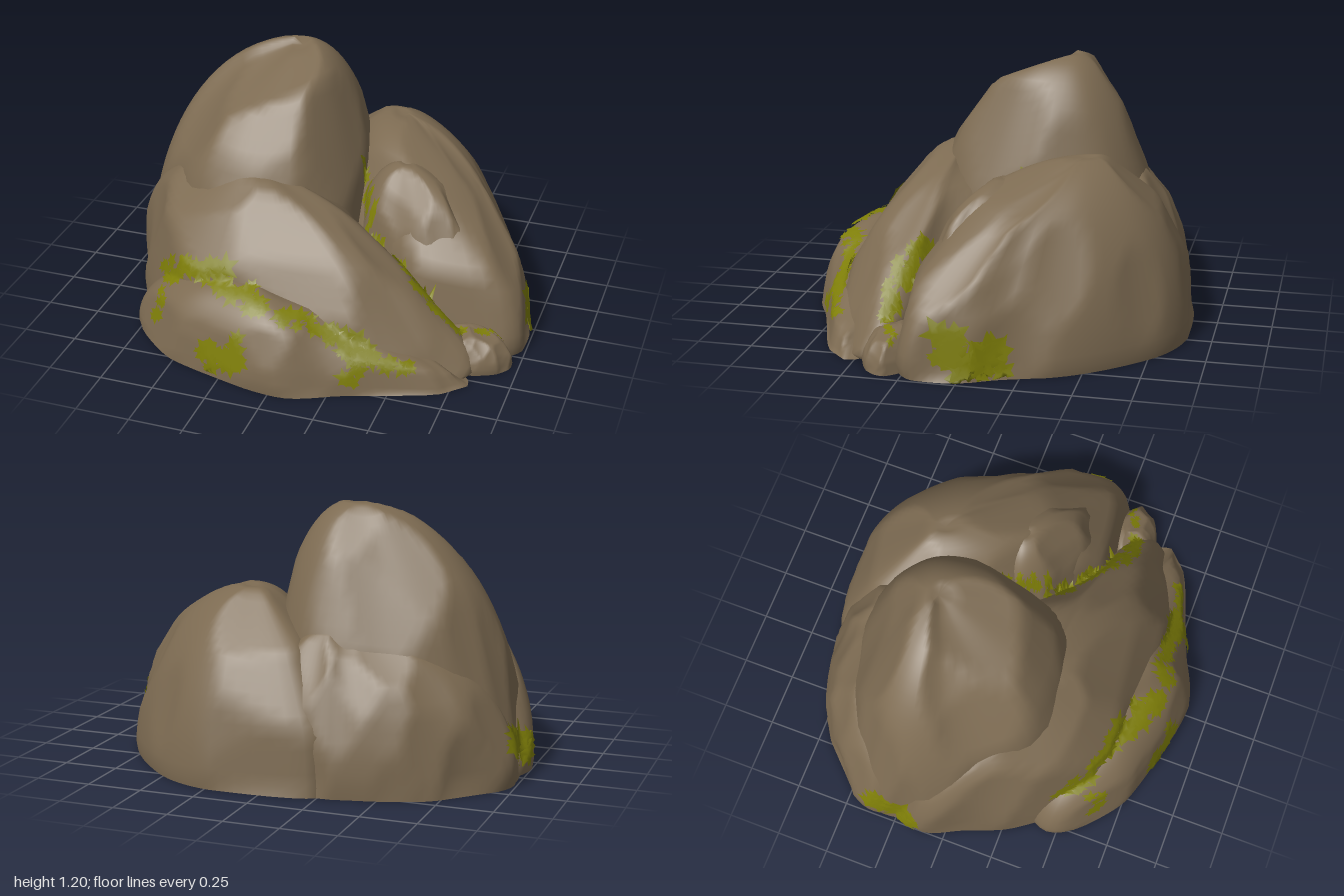
import * as THREE from 'three';
import { mergeGeometries } from 'three/addons/utils/BufferGeometryUtils.js';

const TAU = Math.PI * 2;

function seeded(seed) {
  return () => {
    seed = (seed * 1664525 + 1013904223) % 4294967296;
    return seed / 4294967296;
  };
}

// Boulder dome: footprint points are [x, z, bulge], running from +x round by the front.
// The bulge is the superellipse exponent of the side at that point.
function boulderGeometry({ apex: [ax, ay, az], foot, seed }) {
  const random = seeded(seed), cols = 72, rows = 24;
  const outline = new THREE.CatmullRomCurve3(
    foot.map(([x, z, p = 2]) => new THREE.Vector3(x, p, z)), true);
  // Random planes that chisel flat faces into the dome
  const cuts = Array.from({ length: 34 }, () => {
    const a = random() * TAU, y = random() * 0.95, r = Math.sqrt(1 - y * y);
    return { n: new THREE.Vector3(r * Math.cos(a), y, r * Math.sin(a)), d: 0.93 + random() * 0.045 };
  });
  const pos = [], index = [], q = new THREE.Vector3();
  for (let j = 0; j < rows; j++) {
    const v = (j / rows) * Math.PI / 2;
    for (let i = 0; i < cols; i++) {
      const t = i / cols, f = outline.getPoint(t), p = f.y;
      q.set(Math.cos(v) * Math.cos(t * TAU), Math.sin(v), Math.cos(v) * Math.sin(t * TAU));
      let cut = 1;
      for (const { n, d } of cuts) {
        const k = n.dot(q);
        if (k > d) cut = Math.min(cut, d / k);
      }
      cut = 1 + (cut - 0.975) * (j ? 1 : 0.4);
      const r = Math.cos(v) ** (2 / p) * cut, h = Math.sin(v) ** (2 / p) * cut;
      pos.push(ax + (f.x - ax) * r, ay * h, az + (f.z - az) * r);
      const a = j * cols + i, b = j * cols + (i + 1) % cols;
      if (j < rows - 1) index.push(a, a + cols, b, b, a + cols, b + cols);
      else index.push(a, rows * cols, b);
    }
  }
  pos.push(ax, ay * 0.995, az);
  const dome = new THREE.BufferGeometry();
  dome.setAttribute('position', new THREE.Float32BufferAttribute(pos, 3));
  dome.setIndex(index);
  dome.computeVertexNormals();

  // Flat underside
  const under = new THREE.BufferGeometry();
  under.setAttribute('position', new THREE.Float32BufferAttribute([...pos.slice(0, cols * 3), ax, 0, az], 3));
  under.setIndex(Array.from({ length: cols }, (_, i) => [i, (i + 1) % cols, cols]).flat());
  under.computeVertexNormals();
  return mergeGeometries([dome, under]);
}

const BOULDERS = {
  tallBoulder: {
    apex: [-0.23, 1.17, -0.27], seed: 11,
    foot: [[0.17, -0.2, 2.4], [0.13, 0.12, 2.5], [-0.08, 0.4, 2.4], [-0.4, 0.46, 2.3], [-0.72, 0.28, 2.1],
      [-0.9, 0.03, 2], [-0.97, -0.18, 2], [-0.96, -0.38, 1.9], [-0.8, -0.56, 1.9], [-0.5, -0.66, 1.9],
      [-0.15, -0.69, 1.9], [0.1, -0.5, 2.1]],
  },
  rightBoulder: {
    apex: [0.22, 0.8, -0.43], seed: 23,
    foot: [[1, 0.06, 1.8], [0.94, 0.24, 1.95], [0.6, 0.32, 2.2], [0.25, 0.17, 2.3], [0.02, -0.08, 2.4],
      [-0.16, -0.45, 2.3], [-0.26, -0.83, 2], [0.18, -0.89, 1.9], [0.43, -0.82, 1.8], [0.62, -0.66, 1.8],
      [0.79, -0.44, 1.8], [0.9, -0.18, 1.8]],
  },
  rightFrontBoulder: {
    apex: [0.34, 0.72, -0.08], seed: 37,
    foot: [[0.9, 0.04, 1.7], [0.88, 0.17, 1.8], [0.78, 0.25, 1.9], [0.57, 0.3, 2], [0.35, 0.22, 2.2],
      [0.16, 0.1, 2.2], [0.08, -0.05, 2.2], [0.2, -0.3], [0.55, -0.36, 1.7], [0.8, -0.16, 1.7]],
  },
  backBoulder: {
    apex: [-0.2, 0.69, -0.48], seed: 41,
    foot: [[0.1, -0.5], [0, 0], [-0.5, 0], [-0.9, -0.2], [-0.98, -0.38, 2.1], [-0.85, -0.59, 2.2],
      [-0.65, -0.74, 2.2], [-0.4, -0.81, 2.2], [-0.22, -0.84, 2.1], [0, -0.8]],
  },
  frontSlab: {
    apex: [-0.28, 0.74, 0.24], seed: 53,
    foot: [[0.8, 0.41, 1.5], [0.68, 0.6, 1.5], [0.3, 0.71, 1.75], [-0.15, 0.72, 1.95], [-0.55, 0.6, 2.2],
      [-0.8, 0.34, 2.5], [-0.92, 0.1, 2.5], [-0.99, -0.14, 2.1], [-0.88, -0.34], [-0.4, -0.2], [0.07, -0.1],
      [0.5, 0.22, 1.7]],
  },
  lowFrontRock: {
    apex: [-0.2, 0.38, 0.58], seed: 67,
    foot: [[0.81, 0.49, 1.25], [0.75, 0.62, 1.4], [0.33, 0.79, 1.9], [0.05, 0.89, 2.3], [-0.3, 0.83, 2.3],
      [-0.58, 0.72, 2.2], [-0.78, 0.45, 2], [-0.6, 0.25], [-0.1, 0.15], [0.5, 0.3, 1.4]],
  },
  cornerStone: {
    apex: [0.76, 0.16, 0.31], seed: 71,
    foot: [[0.96, 0.31, 2.2], [0.92, 0.41, 2.4], [0.81, 0.46, 2.4], [0.68, 0.45, 2.2], [0.55, 0.32], [0.75, 0.18]],
  },
};

// Moss strips: spots are [u, v, radius] in the plane faced by `from`
const MOSS = {
  frontMoss: {
    from: [0, 0.6, 0.8], u: [1, 0, 0], v: [0, 0.8, -0.6], steps: 8, seed: 5,
    strips: [
      [[-0.65, -0.062, 0.06], [-0.54, -0.066, 0.08], [-0.37, -0.052, 0.085], [-0.2, -0.114, 0.085],
        [0, -0.186, 0.065], [0.18, -0.202, 0.055], [0.32, -0.258, 0.075], [0.45, -0.296, 0.06], [0.6, -0.292, 0.05]],
      [[-0.61, -0.184, 0.045], [-0.63, -0.308, 0.055]],
      [[-0.12, -0.33, 0.06], [-0.22, -0.408, 0.09], [-0.32, -0.444, 0.06]],
      [[0.33, -0.306, 0.065], [0.36, -0.414, 0.05]],
    ],
  },
  gullyMoss: {
    from: [0, 1, 0], u: [1, 0, 0], v: [0, 0, 1], steps: 8, seed: 9,
    strips: [
      [[0.14, -0.09, 0.03], [0.2, 0.04, 0.03], [0.27, 0.16, 0.05], [0.39, 0.25, 0.06], [0.5, 0.32, 0.06],
        [0.62, 0.38, 0.06], [0.74, 0.38, 0.045]],
      [[0.8, 0.34, 0.03], [0.89, 0.31, 0.03]],
    ],
  },
  rightSideMoss: {
    from: [1, 0, 0], u: [0, 0, 1], v: [0, 1, 0], steps: 9, seed: 13,
    strips: [[[0.06, 0.18, 0.08], [0, 0.14, 0.12], [-0.09, 0.1, 0.12], [-0.16, 0.08, 0.08]]],
  },
  leftSideMoss: {
    from: [-1, 0, 0], u: [0, 0, 1], v: [0, 1, 0], steps: 8, seed: 17,
    strips: [[[-0.15, 0.13, 0.06], [-0.22, 0.14, 0.09], [-0.31, 0.17, 0.09], [-0.36, 0.23, 0.06]]],
  },
};

// Ragged leafy patches laid onto the rock surface
function mossGeometry({ from, u, v, strips, steps, seed }, rocks) {
  const random = seeded(seed), out = new THREE.Vector3(...from);
  const U = new THREE.Vector3(...u), V = new THREE.Vector3(...v);
  const ray = new THREE.Raycaster(), down = out.clone().negate();
  const pos = [], index = [];
  const place = (a, b) => U.clone().multiplyScalar(a).addScaledVector(V, b);
  const depthAt = (a, b) => {
    ray.set(place(a, b).addScaledVector(out, 3), down);
    const hit = ray.intersectObjects(rocks)[0];
    return hit ? hit.point.dot(out) : null;
  };
  const patch = (ca, cb, radius) => {
    const centre = depthAt(ca, cb);
    if (centre === null) return;
    const start = pos.length / 3, lift = 0.006 + random() * 0.01, n = 12, spin = random() * TAU;
    const add = (a, b) => {
      const d = depthAt(a, b) ?? centre - 0.06;
      const p = place(a, b).addScaledVector(out, THREE.MathUtils.clamp(d, centre - 0.08, centre + 0.08) + lift);
      pos.push(p.x, Math.max(p.y, 0.004), p.z);
    };
    add(ca, cb);
    for (let i = 0; i < n; i++) {
      const a = spin + (i / n) * TAU;
      const edge = radius * (i % 2 ? 0.55 + random() * 0.15 : 0.9 + random() * 0.55);
      for (const r of [radius * 0.45, edge]) add(ca + Math.cos(a) * r, cb + Math.sin(a) * r);
      const m = start + 1 + i * 2, k = start + 1 + ((i + 1) % n) * 2;
      index.push(start, m, k, m, m + 1, k + 1, m, k + 1, k);
    }
  };
  for (const strip of strips) {
    const path = new THREE.CatmullRomCurve3(strip.map((s) => new THREE.Vector3(...s)));
    const count = (strip.length - 1) * steps;
    for (let i = 0; i <= count; i++) {
      const s = path.getPoint(i / count), j = s.z * 1.2;
      patch(s.x + (random() - 0.5) * j, s.y + (random() - 0.5) * j, s.z * (0.4 + random() * 0.3));
    }
  }
  const geometry = new THREE.BufferGeometry();
  geometry.setAttribute('position', new THREE.Float32BufferAttribute(pos, 3));
  // Wind every patch to face outward
  const handed = U.clone().cross(V).dot(out) > 0;
  geometry.setIndex(handed ? index : index.reverse());
  geometry.computeVertexNormals();
  return geometry;
}

export function createModel() {
  const model = new THREE.Group();
  model.name = 'mossyRocks';
  const stone = new THREE.MeshStandardMaterial({ color: 0x7d6b52 });
  stone.name = 'brown stone';
  const moss = new THREE.MeshStandardMaterial({ color: 0x7e7e08, side: THREE.DoubleSide });
  moss.name = 'green moss';

  const add = (name, geometry, material) => {
    const mesh = new THREE.Mesh(geometry, material);
    mesh.name = name;
    model.add(mesh);
    return mesh;
  };
  const rocks = Object.entries(BOULDERS).map(([name, spec]) => add(name, boulderGeometry(spec), stone));
  model.updateMatrixWorld(true);
  for (const [name, spec] of Object.entries(MOSS)) add(name, mossGeometry(spec, rocks), moss);
  return model;
}
